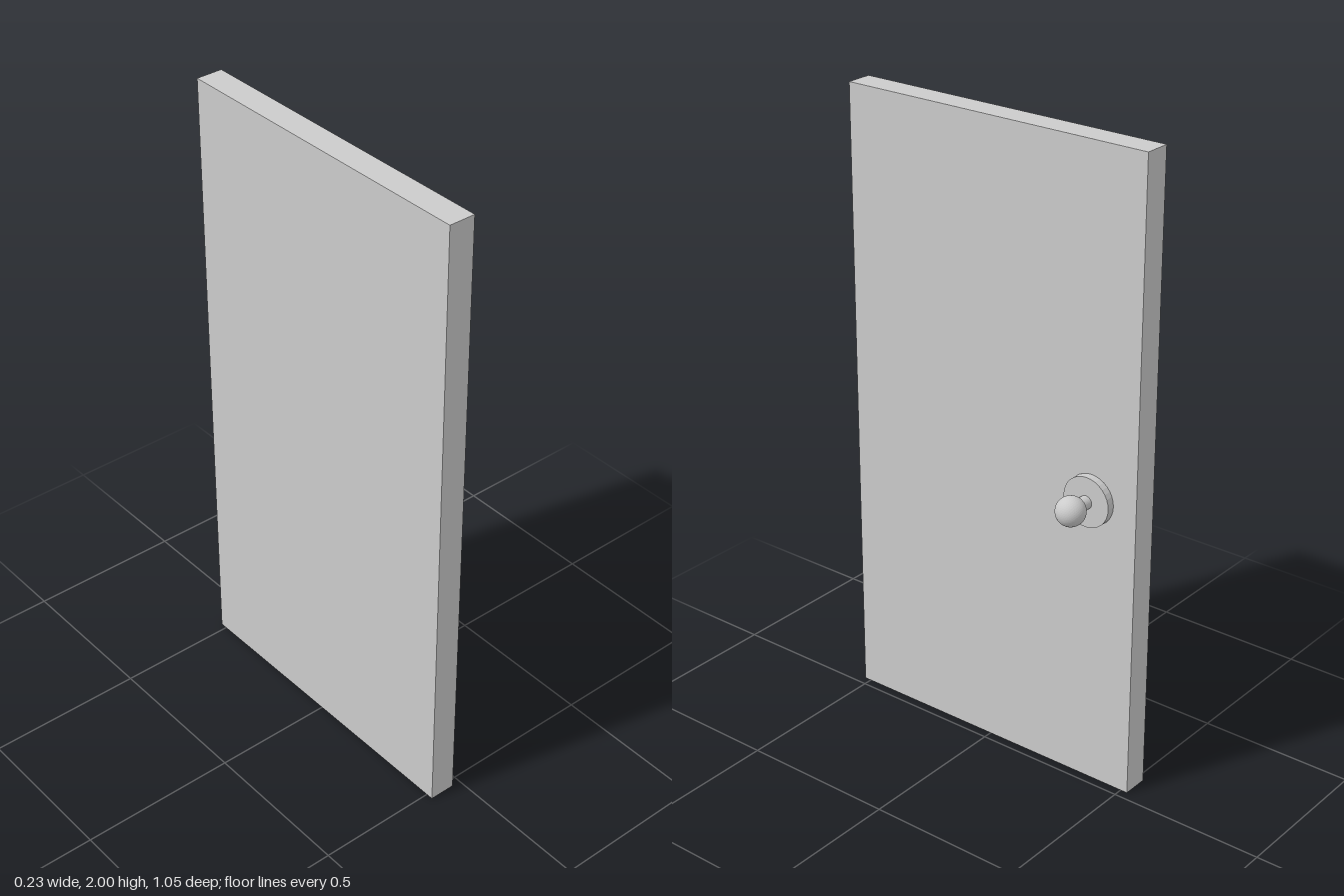
import * as THREE from 'three';

export function createModel() {
  const group = new THREE.Group();
  const material = new THREE.MeshStandardMaterial({ color: 0xcccccc, flatShading: true });

  const add = (name, geometry, x, y, z, parent = group) => {
    const mesh = new THREE.Mesh(geometry, material);
    mesh.name = name;
    mesh.position.set(x, y, z);
    parent.add(mesh);
  };

  // Cylinder lying along x, from x0 to x1
  const addDisc = (name, radius, x0, x1, parent) => {
    const geometry = new THREE.CylinderGeometry(radius, radius, x1 - x0, 32).rotateZ(-Math.PI / 2);
    add(name, geometry, (x0 + x1) / 2, 0, 0, parent);
  };

  // Plain slab door
  const faceX = -0.029;
  add('doorPanel', new THREE.BoxGeometry(0.084, 2, 1.046), faceX - 0.042, 1, 0);

  // Knob on the +x face: backplate, stem and ball
  const knob = new THREE.Group();
  knob.name = 'doorKnob';
  knob.position.set(0, 0.937, -0.365);
  group.add(knob);
  addDisc('backplate', 0.079, faceX, -0.004, knob);
  addDisc('stem', 0.021, -0.004, 0.04, knob);
  add('ball', new THREE.IcosahedronGeometry(0.0455, 7), 0.0675, 0, 0, knob);

  return group;
}
